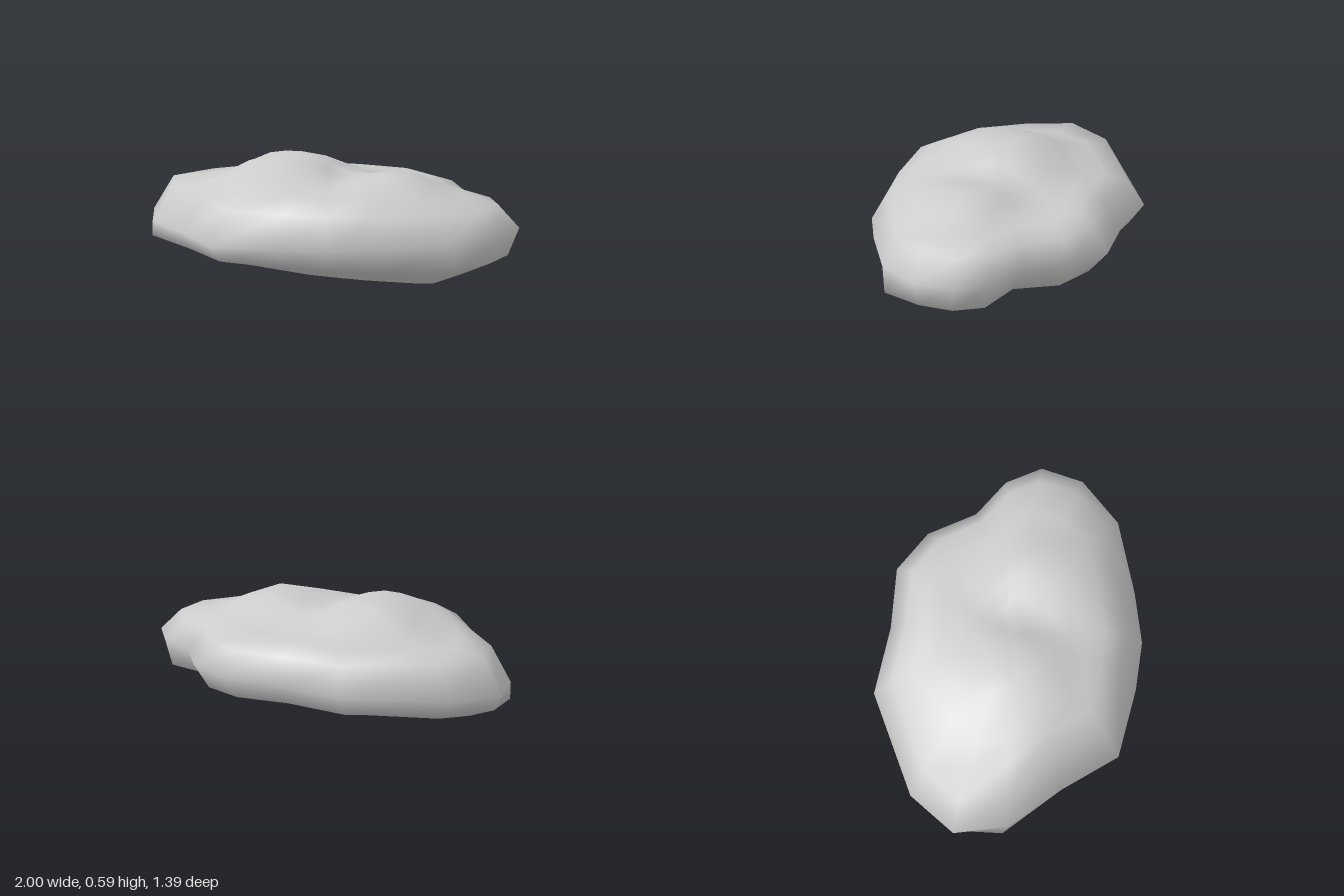
import * as THREE from 'three';

// Plan outline of the boulder at its widest: x, z, and flare of the lower rim
const OUTLINE = [
  [-1, 0.02, 1], [-0.88, 0.27, 1.06], [-0.6, 0.47, 1.03], [-0.34, 0.69, 1], [0.03, 0.66, 1], [0.28, 0.61, 1.02],
  [0.52, 0.49, 1.03], [0.85, 0.29, 1.07], [1, 0.05, 0.99], [1, -0.17, 0.99], [0.87, -0.32, 1.02], [0.66, -0.41, 0.9],
  [0.48, -0.61, 0.98], [0.25, -0.7, 0.96], [-0.06, -0.63, 0.95], [-0.42, -0.6, 1], [-0.88, -0.25, 1],
];

// Flat-topped hump with its own width in x and different widths to front and back
const fall = (d, w) => Math.exp(-(Math.abs(d / w) ** 3));
const hump = (x, z, cx, cz, wx, front, back) => fall(x - cx, wx) * fall(z - cz, z > cz ? front : back);

// Upper surface: a broad main hump and a smaller one on the left
const topHeight = (x, z) =>
  0.446 - 0.035 * Math.abs(x) + 0.15 * hump(x, z, -0.21, 0.07, 0.3, 0.36, 0.32) + 0.11 * hump(x, z, 0.4, 0.03, 0.23, 0.32, 0.23);
const waist = (x, z) => 0.245 + 0.03 * x - 0.03 * z;

// Rings from underside to crown: scale in x and z, height, centre, share of flare
const ring = (sx, sz, y, cx = 0, cz = 0, flare = 0) => ({ sx, sz, y, cx, cz, flare });
const RINGS = [
  ring(0.48, 0.22, (x, z) => 0.008 + 0.04 * Math.max(z, 0), 0.18, 0.11),
  ring(0.79, 0.5, () => 0.066, 0.01, 0.04, 0.5),
  ring(0.955, 0.87, (x, z) => 0.133 - 0.02 * z, 0, 0, 1),
  ring(1, 1, waist),
  ring(0.89, 0.87, () => 0.395),
  ...[0.72, 0.58, 0.46, 0.34, 0.22, 0.11].map((s) => ring(s, s, topHeight)),
];

function boulderGeometry() {
  const n = OUTLINE.length;
  const positions = [];
  const index = [];
  for (const r of RINGS) {
    for (const [ox, oz, out] of OUTLINE) {
      const f = 1 + (out - 1) * r.flare;
      const x = ox * r.sx * f + r.cx;
      const z = oz * r.sz * f + r.cz;
      positions.push(x, r.y(x, z), z);
    }
  }
  const bottom = positions.length / 3;
  positions.push(0.15, 0, 0.08);
  positions.push(0, topHeight(0, 0), 0);

  // Skin between neighbouring rings, then the two caps
  const last = (RINGS.length - 1) * n;
  for (let j = 0; j < n; j++) {
    const k = (j + 1) % n;
    for (let i = 0; i < RINGS.length - 1; i++) {
      const a = i * n + j, b = i * n + k, c = b + n, d = a + n;
      index.push(a, b, c, a, c, d);
    }
    index.push(bottom, k, j, bottom + 1, last + j, last + k);
  }
  const geometry = new THREE.BufferGeometry();
  geometry.setAttribute('position', new THREE.Float32BufferAttribute(positions, 3));
  geometry.setIndex(index);
  geometry.computeVertexNormals();
  return geometry;
}

export function createModel() {
  const group = new THREE.Group();
  group.name = 'rock';
  const stone = new THREE.MeshStandardMaterial({ color: 0xcccccc });
  stone.name = 'pale grey stone';
  const boulder = new THREE.Mesh(boulderGeometry(), stone);
  boulder.name = 'boulder';
  group.add(boulder);
  return group;
}
